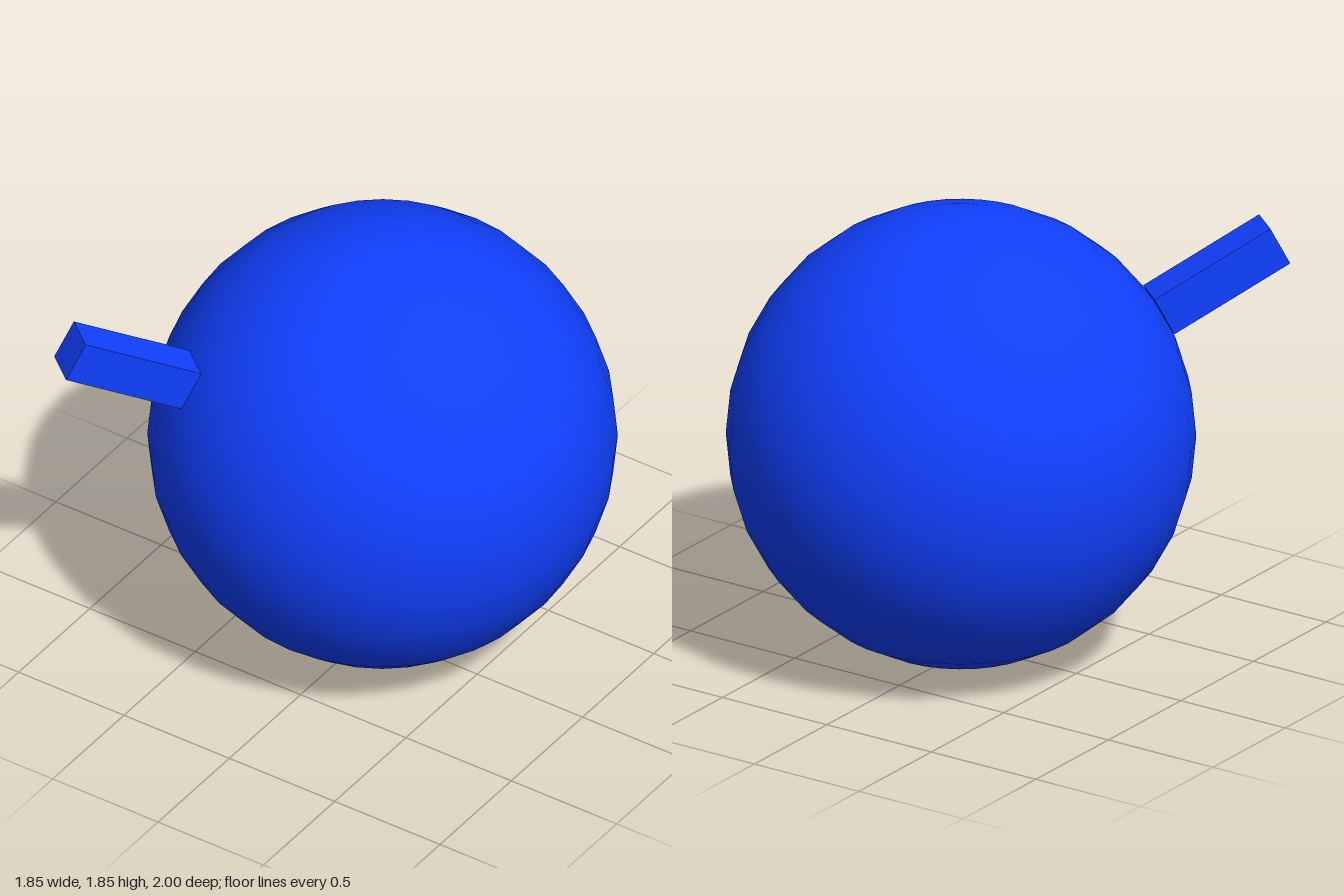
import * as THREE from 'three';

export function createModel() {
  const model = new THREE.Group();
  const blue = new THREE.MeshStandardMaterial({ color: 0x1040ff });

  // Round body with a visible 32-sided outline
  const body = new THREE.Mesh(new THREE.SphereGeometry(0.925, 32, 16), blue);
  body.name = 'body';
  body.position.set(0, 0.925, -0.075);
  model.add(body);

  // Square-ended bar sticking out to the front right, tilted upward
  const bar = new THREE.Mesh(new THREE.BoxGeometry(0.16, 0.175, 0.535), blue);
  bar.name = 'bar';
  bar.position.set(-0.665, 1.488, 0.73);
  bar.rotation.set(-0.48, -0.68, 0, 'YXZ');
  model.add(bar);

  return model;
}
